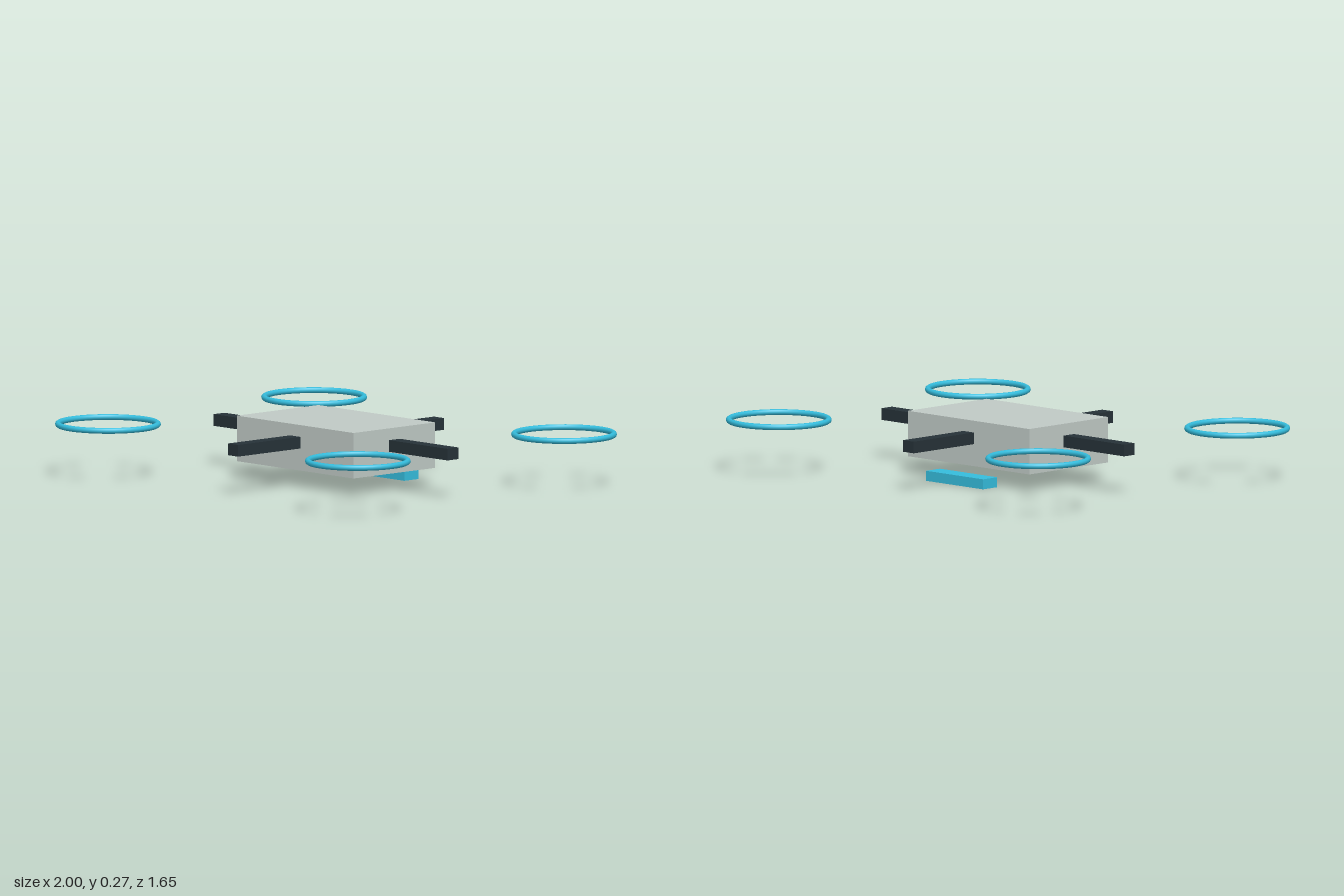
import * as THREE from 'three';

export function createModel() {
  const model = new THREE.Group();
  const paint = (color) => new THREE.MeshStandardMaterial({ color });
  const shell = paint(0xc0cac6), dark = paint(0x263238), cyan = paint(0x35bddd);

  const add = (name, geometry, material, x, y, z) => {
    const mesh = new THREE.Mesh(geometry, material);
    mesh.name = name;
    mesh.position.set(x, y, z);
    model.add(mesh);
    return mesh;
  };

  // Central hull
  add('body', new THREE.BoxGeometry(0.725, 0.195, 0.475), shell, 0, 0.173, 0);

  // Crossed beams passing through the hull
  add('sideArms', new THREE.BoxGeometry(1.45, 0.05, 0.063), dark, 0, 0.195, 0);
  add('frontBackArms', new THREE.BoxGeometry(0.063, 0.05, 1.2), dark, 0, 0.195, 0);

  // Sensor bar below the rear edge
  add('sensorBar', new THREE.BoxGeometry(0.34, 0.043, 0.084), cyan, 0, 0.0215, -0.28);

  // Four rotor rings lying flat at the corners
  const ring = new THREE.TorusGeometry(0.2125, 0.0125, 10, 40).rotateX(Math.PI / 2);
  for (const [side, x] of [['left', 0.775], ['right', -0.775]]) {
    for (const [end, z] of [['Front', 0.6], ['Back', -0.6]]) {
      add(`${side}${end}RotorRing`, ring, cyan, x, 0.2275, z);
    }
  }
  return model;
}
